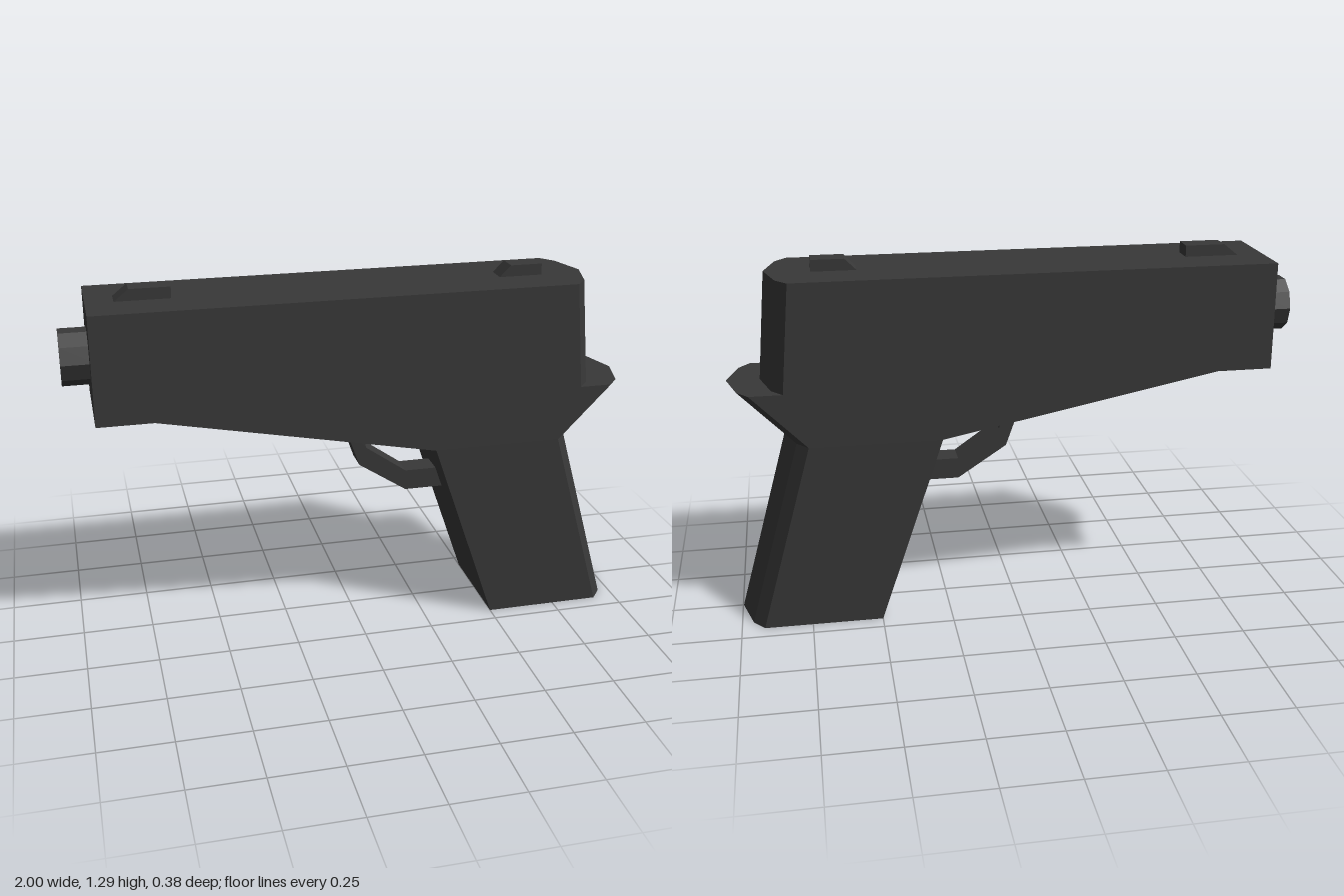
import * as THREE from 'three';

const darkMetal = new THREE.MeshStandardMaterial({ color: 0x383838 });
darkMetal.name = 'darkMetal';

// Extrudes an outline in x/y, centred on z = 0
function plate(points, width, steps = 1) {
  const shape = new THREE.Shape(points.map(([x, y]) => new THREE.Vector2(x, y)));
  return new THREE.ExtrudeGeometry(shape, { depth: width, steps, bevelEnabled: false })
    .translate(0, 0, -width / 2);
}

function part(group, name, geometry) {
  const flat = geometry.index ? geometry.toNonIndexed() : geometry;
  flat.computeVertexNormals();
  const mesh = new THREE.Mesh(flat, darkMetal);
  mesh.name = name;
  group.add(mesh);
  return mesh;
}

export function createModel() {
  const group = new THREE.Group();
  group.name = 'pistol';

  // Slide, frame and grip in one body, outline at the flat sides
  const body = plate([
    [-0.905, 1.25], [-0.905, 0.87], [-0.71, 0.87], [0.27, 0.675], [0.5, 0],
    [0.92, 0], [0.73, 0.675], [0.92, 0.87], [0.805, 0.87], [0.77, 1.25],
  ], 0.38, 4);
  // Bulge the rear faces toward the centre line
  const pos = body.attributes.position;
  for (let i = 0; i < pos.count; i++) {
    const z = pos.getZ(i);
    const ring = Math.round(Math.abs(z) / 0.095);
    pos.setZ(i, Math.sign(z) * [0, 0.14, 0.19][ring]);
    if (pos.getX(i) > 0.7) pos.setX(i, pos.getX(i) + [0.078, 0.04, 0][ring]);
  }
  part(group, 'body', body);

  // Barrel end
  const barrel = new THREE.CylinderGeometry(0.097, 0.097, 0.12, 10)
    .rotateY(Math.PI / 2).rotateZ(Math.PI / 2).rotateX(Math.PI / 2);
  part(group, 'barrel', barrel).position.set(-0.94, 1.06, 0);

  // Sights with a sloped front
  for (const [name, start, slope, end] of [
    ['frontSight', -0.81, -0.76, -0.62],
    ['rearSight', 0.535, 0.575, 0.69],
  ]) {
    part(group, name, plate([[start, 1.25], [end, 1.25], [end, 1.29], [slope, 1.29]], 0.075));
  }

  // Trigger guard
  part(group, 'triggerGuard', plate([
    [-0.03, 0.74], [0.025, 0.585], [0.2, 0.47], [0.36, 0.47],
    [0.34, 0.545], [0.2, 0.545], [0.05, 0.65], [0.03, 0.73],
  ], 0.09));

  return group;
}
